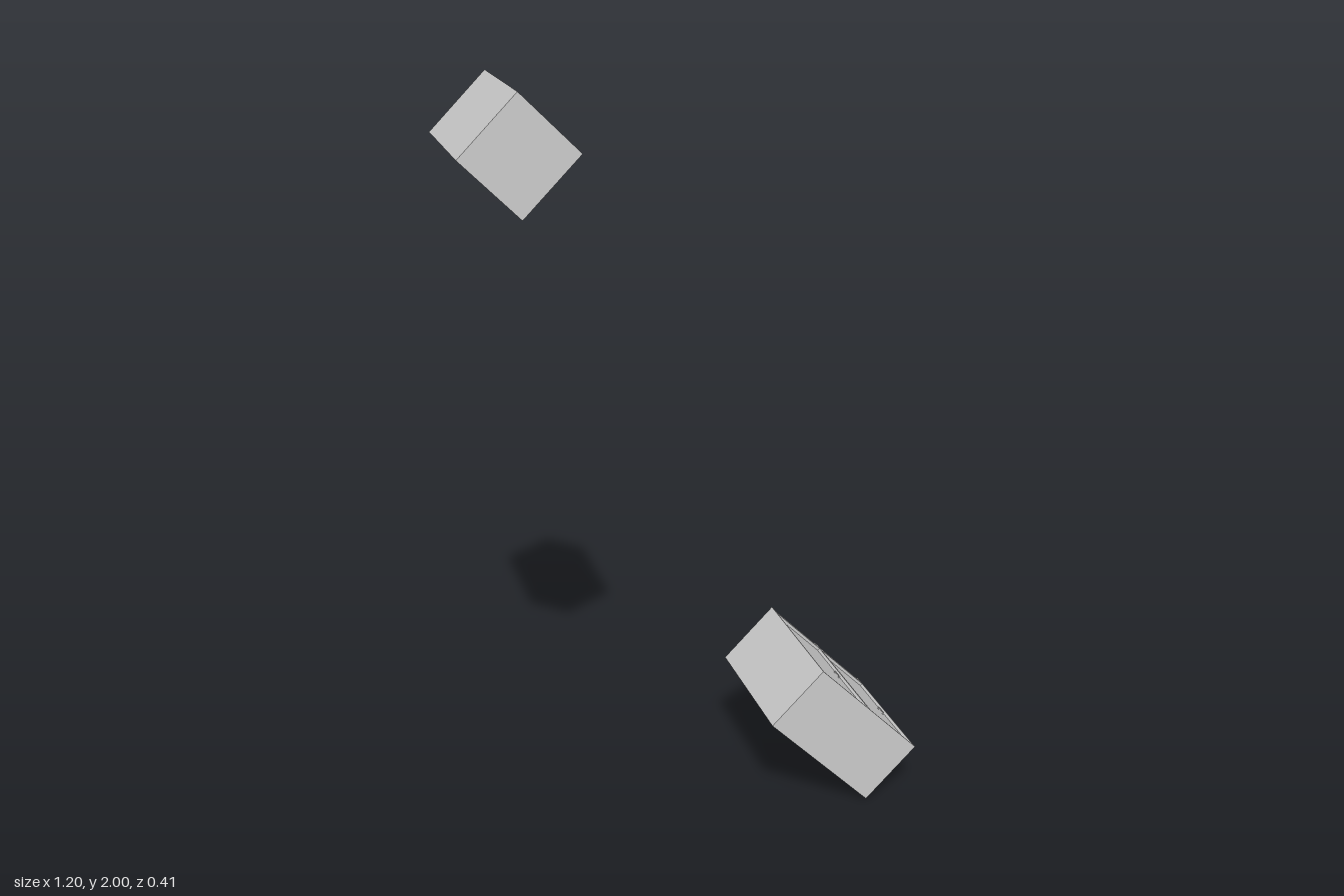
import * as THREE from 'three';

const W = 0.203, D = 0.203, H = 0.406; // one cabinet: width, depth, height
const T = 0.006;                       // panel thickness
const FLOOR = 0.02, BASE = 0.018;      // toe space height, bottom panel thickness
const INSET = 0.008;                   // how far the door sits behind the panel edges

const grey = new THREE.MeshStandardMaterial({ color: 0xcccccc });

function box(parent, name, size, pos) {
  const mesh = new THREE.Mesh(new THREE.BoxGeometry(...size), grey);
  mesh.name = name;
  mesh.position.set(...pos);
  parent.add(mesh);
}

// Upright cabinet centred on its origin, door facing +z
function cabinet(name) {
  const g = new THREE.Group();
  g.name = name;

  // carcass: sides and back reach the ground, toe space stays open in front
  for (const s of [-1, 1]) {
    box(g, s > 0 ? 'rightSidePanel' : 'leftSidePanel', [T, H, D], [s * (W - T) / 2, 0, 0]);
  }
  const inner = W - 2 * T;
  box(g, 'backPanel', [inner, H, T], [0, 0, -(D - T) / 2]);
  box(g, 'topPanel', [inner, T, D - T], [0, (H - T) / 2, T / 2]);
  box(g, 'bottomPanel', [inner, BASE, D - T], [0, -H / 2 + FLOOR + BASE / 2, T / 2]);

  // inset door
  const doorBottom = -H / 2 + FLOOR + BASE + 0.001;
  const doorTop = H / 2 - T - 0.001;
  const doorFront = D / 2 - INSET;
  box(g, 'door', [inner - 0.002, doorTop - doorBottom, T],
    [0, (doorTop + doorBottom) / 2, doorFront - T / 2]);

  // bar handle on two posts
  const hx = -W / 2 + 0.027, hy = 0.016;
  box(g, 'handleBar', [0.004, 0.034, 0.002], [hx, hy, doorFront + 0.005]);
  for (const s of [-1, 1]) {
    box(g, 'handlePost', [0.004, 0.003, 0.005], [hx, hy + s * 0.0155, doorFront + 0.002]);
  }
  return g;
}

// Lay a run of cabinets along z, with the doors facing the given angle in the xy plane
function run(name, count, angle, x, y) {
  const g = new THREE.Group();
  g.name = name;
  for (let i = 0; i < count; i++) {
    const c = cabinet('cabinet' + (i + 1));
    c.position.x = (i - (count - 1) / 2) * W;
    g.add(c);
  }
  const up = new THREE.Vector3(0, 0, 1);
  const front = new THREE.Vector3(Math.cos(angle), Math.sin(angle), 0);
  const side = new THREE.Vector3().crossVectors(up, front);
  g.quaternion.setFromRotationMatrix(new THREE.Matrix4().makeBasis(side, up, front));
  g.position.set(x, y, 0);
  return g;
}

export function createModel() {
  const model = new THREE.Group();
  model.name = 'cabinets';
  model.add(run('singleCabinet', 1, -Math.PI / 4, -0.459, 1.8565));
  model.add(run('doubleCabinet', 2, Math.PI / 4, 0.387, 0.2153));
  return model;
}
